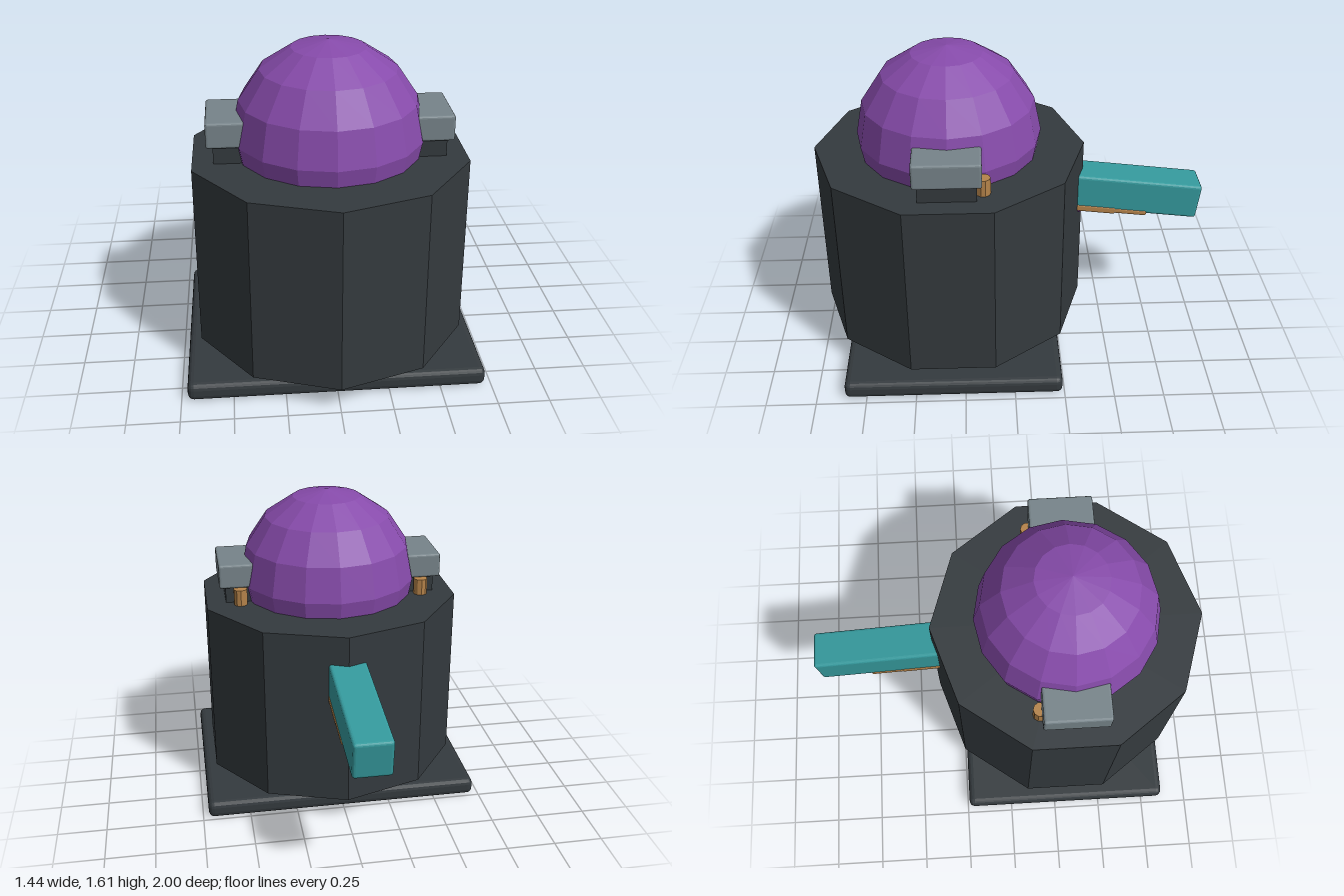
import * as THREE from 'three';
import { RoundedBoxGeometry } from 'three/addons/geometries/RoundedBoxGeometry.js';

const mat = (color) => new THREE.MeshStandardMaterial({ color, flatShading: true });
const dark = mat(0x343a3e);
const grey = mat(0x77848a);
const purple = mat(0x874bab);
const teal = mat(0x359a9d);
const bronze = mat(0xb5834a);

const CZ = 0.31; // shared z of the vertical axis

function add(parent, name, geometry, material, x, y, z) {
  const mesh = new THREE.Mesh(geometry, material);
  mesh.name = name;
  mesh.position.set(x, y, z);
  parent.add(mesh);
  return mesh;
}

// Box given by its lower and upper corners, with an optional edge radius
function addBox(parent, name, material, min, max, radius = 0) {
  const s = max.map((v, i) => v - min[i]);
  const c = max.map((v, i) => (v + min[i]) / 2);
  const geometry = radius
    ? new RoundedBoxGeometry(s[0], s[1], s[2], 2, radius)
    : new THREE.BoxGeometry(s[0], s[1], s[2]);
  return add(parent, name, geometry, material, c[0], c[1], c[2]);
}

export function createModel() {
  const model = new THREE.Group();
  model.name = 'domedTurret';

  // Base plate, neck and ten-sided body
  addBox(model, 'basePlate', dark, [-0.72, 0, CZ - 0.55], [0.72, 0.09, CZ + 0.55], 0.03);
  add(model, 'neck', new THREE.CylinderGeometry(0.5, 0.5, 0.1, 10), dark, 0, 0.11, CZ);
  add(model, 'body', new THREE.CylinderGeometry(0.69, 0.69, 0.925, 10), dark, 0, 0.5925, CZ);

  // Faceted dome, its lower half sunk into the body
  add(model, 'dome', new THREE.SphereGeometry(0.466, 16, 8), purple, 0, 1.14, CZ);

  // Mirrored side fittings
  for (const side of [-1, 1]) {
    const fitting = new THREE.Group();
    fitting.name = side > 0 ? 'leftFitting' : 'rightFitting';
    const block = (name, material, x0, x1, y0, y1, z0, z1, radius) =>
      addBox(fitting, name, material,
        [Math.min(side * x0, side * x1), y0, z0],
        [Math.max(side * x0, side * x1), y1, z1], radius);
    block('foot', dark, 0.45, 0.6, 0.08, 0.14, CZ - 0.19, CZ + 0.19);
    block('clampPost', dark, 0.36, 0.555, 1.04, 1.15, 0.175, 0.455);
    block('clampBlock', grey, 0.34, 0.587, 1.14, 1.267, 0.15, 0.477, 0.012);
    add(fitting, 'clampPin', new THREE.CylinderGeometry(0.036, 0.036, 0.1, 10),
      bronze, side * 0.48, 1.09, 0.145);
    model.add(fitting);
  }

  // Rear arm, sloping gently down towards the back
  const arm = new THREE.Group();
  arm.name = 'rearArm';
  arm.position.set(0, 0.81, -0.345);
  arm.rotation.x = -0.122;
  addBox(arm, 'armBeam', teal, [-0.095, -0.095, -0.65], [0.095, 0.095, 0.3], 0.015);
  // Lining under the arm, in two steps
  addBox(arm, 'armLining', bronze, [-0.098, -0.112, -0.22], [0.098, -0.073, 0.25], 0.01);
  addBox(arm, 'armLiningTip', bronze, [-0.098, -0.106, -0.385], [0.098, -0.076, -0.2], 0.01);
  // Small stop where the arm meets the body
  addBox(arm, 'armStop', purple, [-0.085, -0.127, -0.045], [0.085, -0.1, 0.2], 0.01);
  model.add(arm);

  return model;
}
